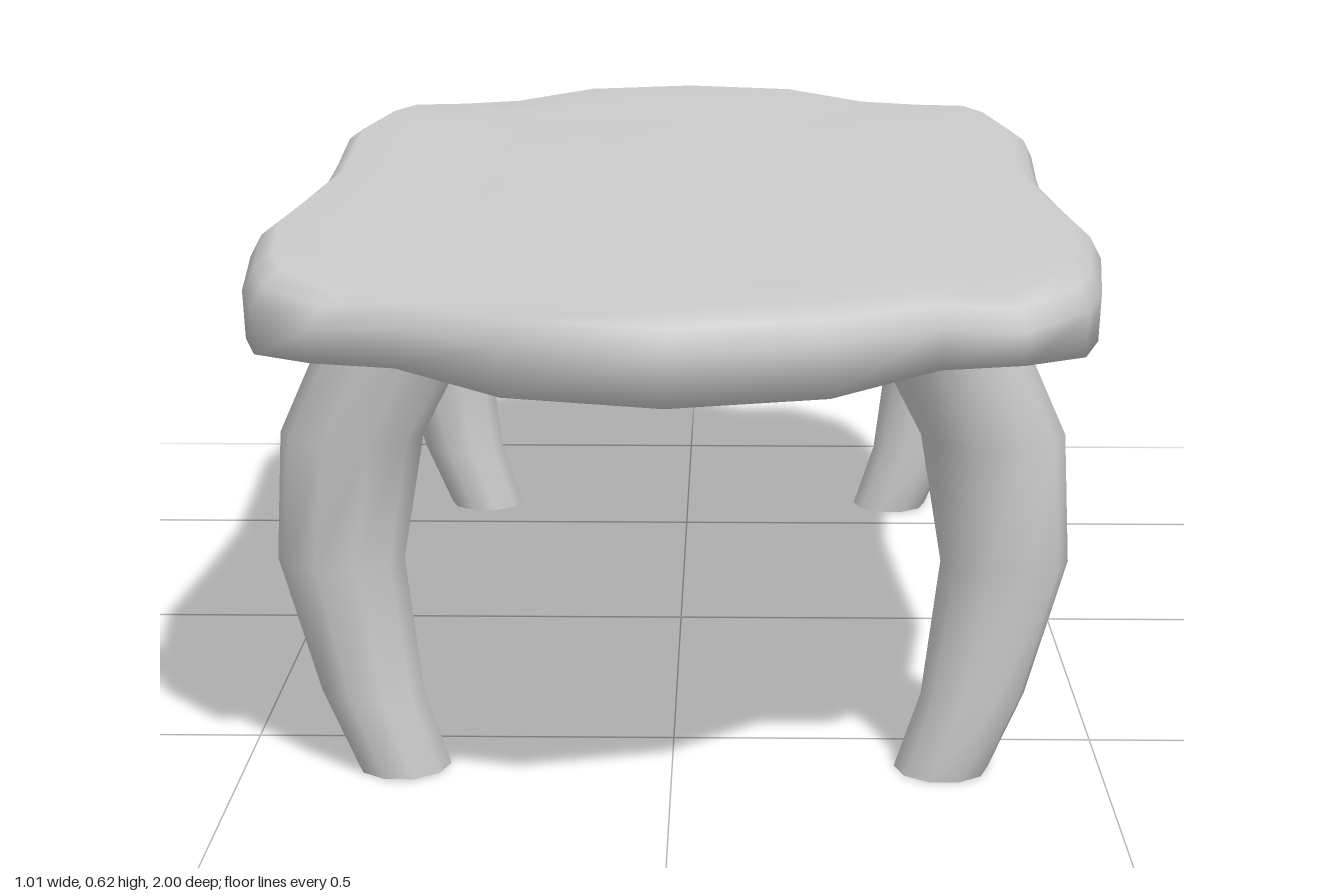
import * as THREE from 'three';

const material = new THREE.MeshStandardMaterial({ color: 0xcccccc });

// Skin a stack of closed rings (bottom to top, each running +x towards +z)
function loft(rings, name) {
  const n = rings[0].length;
  const index = [];
  for (let r = 0; r < rings.length - 1; r++) {
    for (let i = 0; i < n; i++) {
      const a = r * n + i, b = r * n + (i + 1) % n;
      const c = a + n, d = b + n;
      index.push(a, c, b, b, c, d);
    }
  }
  const geometry = new THREE.BufferGeometry();
  geometry.setAttribute('position', new THREE.Float32BufferAttribute(rings.flat(2), 3));
  geometry.setIndex(index);
  geometry.computeVertexNormals();
  const mesh = new THREE.Mesh(geometry, material);
  mesh.name = name;
  return mesh;
}

// Quarter of the scalloped outline: x, z, how strongly the rim is pinched
const quarter = [
  [0.48, 0, 0], [0.49, 0.2, 0], [0.505, 0.43, 0], [0.48, 0.65, 0], [0.455, 0.75, 0.2],
  [0.38, 0.845, 1], [0.29, 0.845, 0.6], [0.17, 0.95, 0], [0, 1, 0],
];

function createTop() {
  const half = [...quarter, ...quarter.slice(0, -1).reverse().map(([x, z, p]) => [-x, z, p])];
  const outline = [...half, ...half.slice(1, -1).reverse().map(([x, z, p]) => [x, -z, p])];
  const ring = (sx, sz, y, pinch = 0) => outline.map(([x, z, p]) => [x * sx, y + pinch * p, z * sz]);
  return loft([
    ring(0.001, 0.001, 0.52),   // flat underside
    ring(0.9, 0.93, 0.52),
    ring(0.995, 0.997, 0.52, 0.013),   // rim
    ring(1, 1, 0.575, -0.006),
    ring(0.975, 0.985, 0.6, -0.008),
    ring(0.935, 0.965, 0.615, -0.012),
    ring(0.78, 0.82, 0.606),    // gently crowned upper face
    ring(0.5, 0.55, 0.612),
    ring(0.001, 0.001, 0.613),
  ], 'tableTop');
}

// Bowed leg sections: height, inner x, outer x, half depth
const legSections = [
  [0, 0.26, 0.37, 0.06], [0.09, 0.29, 0.41, 0.057], [0.25, 0.31, 0.457, 0.06],
  [0.4, 0.285, 0.45, 0.08], [0.535, 0.215, 0.39, 0.1],
];

function createLeg(side, z, name) {
  const sides = 10;
  const ring = ([y, inner, outer, depth], scale = 1) => Array.from({ length: sides }, (_, i) => {
    const a = i / sides * Math.PI * 2;
    return [
      side * (inner + outer) / 2 + Math.cos(a) * (outer - inner) / 2 * scale,
      y,
      z + Math.sin(a) * depth * scale,
    ];
  });
  const foot = legSections[0];
  return loft([ring(foot, 0.001), ring(foot, 0.85), ...legSections.map((s) => ring(s))], name);
}

export function createModel() {
  const group = new THREE.Group();
  group.name = 'table';
  group.add(createTop());
  for (const [side, sideName] of [[1, 'Left'], [-1, 'Right']]) {
    group.add(createLeg(side, 0.595, 'front' + sideName + 'Leg'));
    group.add(createLeg(side, -0.625, 'back' + sideName + 'Leg'));
  }
  return group;
}
